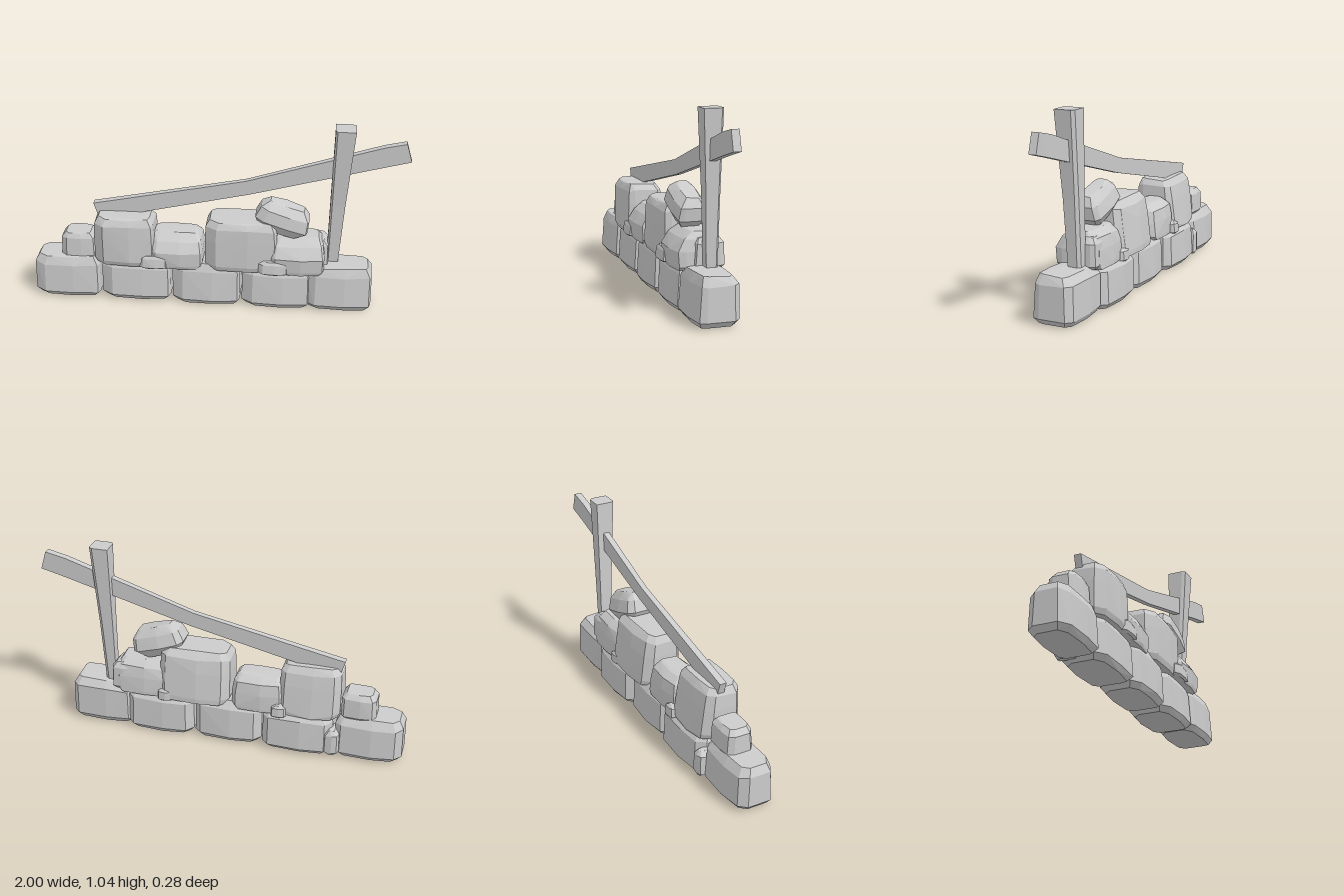
import * as THREE from 'three';
import { ConvexGeometry } from 'three/addons/geometries/ConvexGeometry.js';

const material = new THREE.MeshStandardMaterial({ color: 0xcccccc, flatShading: true });

function seeded(seed) {
  let s = seed * 7919 + 17;
  return () => (s = (s * 16807) % 2147483647) / 2147483647;
}

// Stone outline from above, as fractions of half width and half depth
const outline = [
  [-1, 0.62], [-0.68, 0.95], [0.2, 1], [0.94, 0.88], [1, 0.6],
  [1, -0.65], [0.82, -0.93], [-0.1, -1], [-0.8, -0.88], [-1, -0.5]];

// Stone profiles, bottom to top: height, back and front reach, inset of the ends
const profiles = {
  block: [[0, 0.8, 0.82, 0.025], [0.12, 1, 1, 0], [0.82, 0.95, 0.9, 0.002], [1, 0.68, 0.74, 0.025]],
  tall: [[0, 1, 0.92, 0.012], [0.1, 1, 1, 0], [0.6, 0.84, 1, 0], [0.88, 0.72, 0.97, 0.004], [1, 0.5, 0.82, 0.025]],
  slumped: [[0, 1, 0.92, 0.02], [0.1, 1, 0.96, 0], [0.5, 0.96, 1, 0], [0.82, 0.86, 0.72, 0.01], [1, 0.55, 0.35, 0.035]],
  boulder: [[0, 0.6, 0.6, 0.05], [0.35, 1, 1, 0], [0.75, 0.8, 0.88, 0.012], [1, 0.45, 0.45, 0.05]],
};

function stoneGeometry(w, h, d, profile, seed) {
  const rnd = seeded(seed);
  const points = [];
  for (const [level, back, front, inset] of profiles[profile])
    for (const [u, v] of outline) {
      const chip = 1 - 0.05 * rnd();
      points.push(new THREE.Vector3(
        u * (w / 2 - inset),
        (level - 0.5 - (level > 0.8 ? 0.04 * rnd() : 0)) * h,
        v * (v > 0 ? front : back) * chip * d / 2));
    }
  return new ConvexGeometry(points);
}

// Timber lofted through rings with equal corner counts
function timberGeometry(rings) {
  const n = rings[0].length, last = (rings.length - 1) * n, index = [];
  for (let r = 0; r < last; r += n) for (let i = 0; i < n; i++) {
    const a = r + i, b = r + (i + 1) % n;
    index.push(a, b, b + n, a, b + n, a + n);
  }
  for (let i = 1; i < n - 1; i++) index.push(0, i + 1, i, last, last + i, last + i + 1);
  const g = new THREE.BufferGeometry();
  g.setAttribute('position', new THREE.Float32BufferAttribute(rings.flat(2), 3));
  g.setIndex(index);
  const flat = g.toNonIndexed();
  flat.computeVertexNormals();
  return flat;
}

export function createModel() {
  const model = new THREE.Group();
  const add = (parent, name, geometry) => {
    const mesh = new THREE.Mesh(geometry, material);
    mesh.name = name;
    parent.add(mesh);
    return mesh;
  };

  // Stones: x0, x1, y0, y1, z0, z1, profile
  const courses = {
    baseStone: [
      [-1.0, -0.64, 0.005, 0.25, -0.115, 0.118, 'block'],
      [-0.63, -0.25, 0.005, 0.245, -0.14, 0.118, 'block'],
      [-0.24, 0.13, 0, 0.25, -0.125, 0.122, 'block'],
      [0.14, 0.51, 0, 0.245, -0.14, 0.122, 'block'],
      [0.48, 0.84, 0.005, 0.258, -0.12, 0.118, 'block']],
    upperStone: [
      [-0.85, -0.665, 0.23, 0.38, -0.09, 0.075, 'block'],
      [-0.66, -0.335, 0.225, 0.505, -0.125, 0.128, 'tall'],
      [-0.37, -0.075, 0.22, 0.415, -0.125, 0.128, 'slumped'],
      [-0.06, 0.325, 0.225, 0.515, -0.145, 0.13, 'tall'],
      [0.27, 0.58, 0.225, 0.42, -0.13, 0.138, 'slumped'],
      [0.48, 0.6, 0.23, 0.395, -0.12, 0.05, 'block']],
    pebble: [
      [-0.415, -0.265, 0.22, 0.297, 0.02, 0.135, 'block'],
      [0.23, 0.385, 0.225, 0.302, 0.03, 0.145, 'block'],
      [-0.38, -0.3, 0.21, 0.28, -0.14, -0.04, 'block'],
      [0.25, 0.33, 0.21, 0.28, -0.14, -0.04, 'block'],
      [-0.67, -0.59, 0.02, 0.17, -0.135, -0.02, 'block']],
  };
  let seed = 1;
  for (const [name, list] of Object.entries(courses)) {
    const course = new THREE.Group();
    course.name = name + 's';
    model.add(course);
    for (const [x0, x1, y0, y1, z0, z1, profile] of list) {
      const stone = add(course, name, stoneGeometry(x1 - x0, y1 - y0, z1 - z0, profile, seed++));
      stone.position.set((x0 + x1) / 2, (y0 + y1) / 2, (z0 + z1) / 2);
    }
  }

  // Tilted stone on top of the pile
  const cap = add(model, 'capStone', stoneGeometry(0.29, 0.165, 0.185, 'boulder', 23));
  cap.position.set(0.352, 0.52, 0.008);
  cap.rotation.z = -0.31;

  // Post, widening toward its top, with two opposite corners shaved
  const postRing = (y, x0, x1, z0, z1) => [
    [x0 + 0.01, y, z1], [x1, y, z1], [x1, y, z0 + 0.014],
    [x1 - 0.018, y, z0], [x0, y, z0], [x0, y, z1 - 0.018]];
  add(model, 'post', timberGeometry([
    postRing(0.2, 0.59, 0.65, -0.058, 0.005),
    postRing(0.6, 0.597, 0.675, -0.06, 0.018),
    postRing(1.037, 0.605, 0.71, -0.063, 0.042)]));

  // Slightly bent rail running through the post
  const railRing = (xt, yt, xb, yb, z0, z1) =>
    [[xb, yb, z1], [xb, yb, z0], [xt, yt, z0], [xt, yt, z1]];
  add(model, 'rail', timberGeometry([
    railRing(-0.67, 0.545, -0.64, 0.45, -0.03, 0.008),
    railRing(0.15, 0.715, 0.17, 0.638, -0.028, 0.002),
    railRing(0.86, 0.945, 0.88, 0.838, -0.03, 0.008),
    railRing(0.97, 0.97, 1.0, 0.87, -0.032, 0.008)]));

  return model;
}
